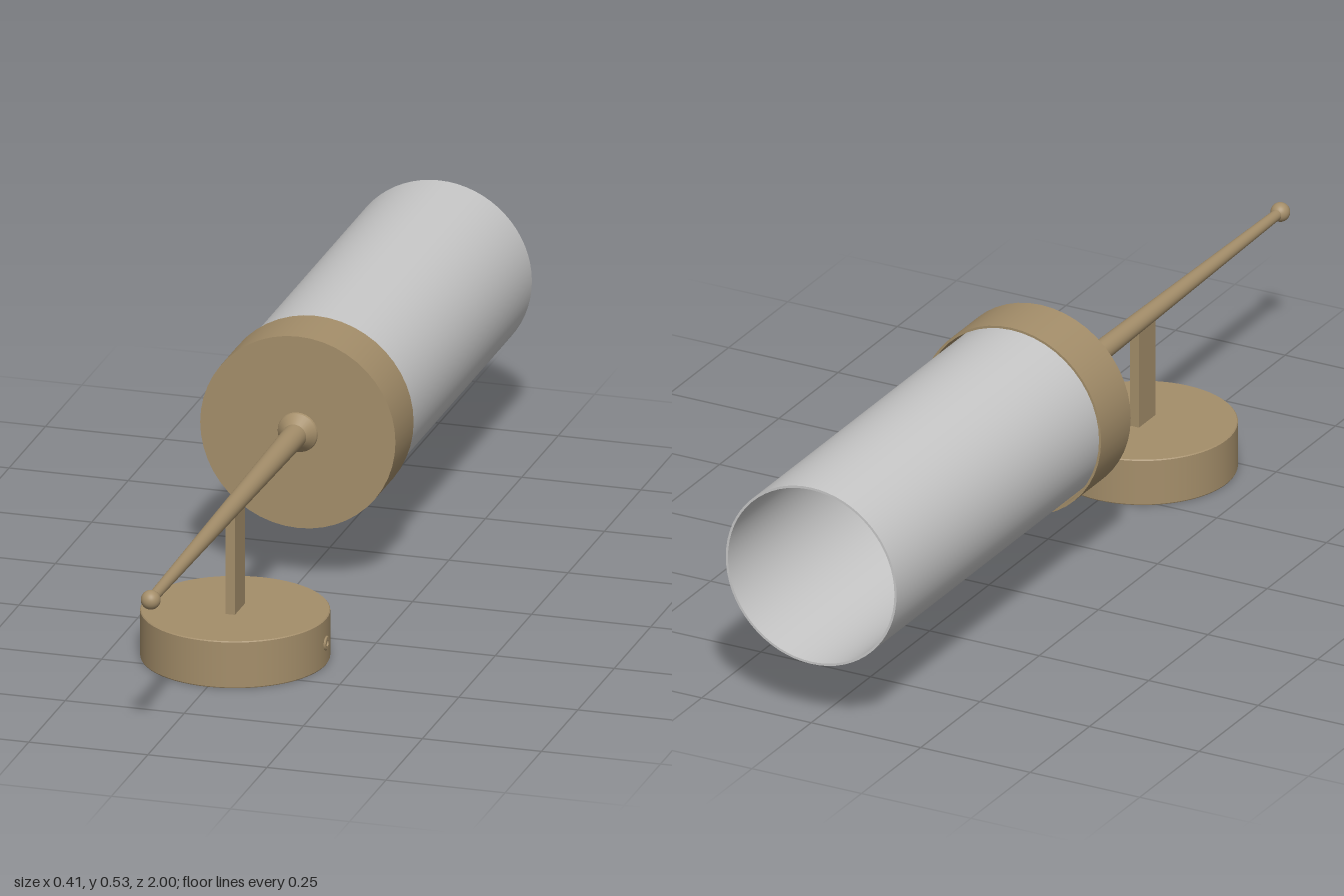
import * as THREE from 'three';

export function createModel() {
  const model = new THREE.Group();
  const brass = new THREE.MeshStandardMaterial({ color: 0xa48e6a });
  brass.name = 'brass';
  const glass = new THREE.MeshStandardMaterial({ color: 0xc8c8c8 });
  glass.name = 'frosted glass';
  const axisY = 0.325;
  const baseZ = 0.4;

  const add = (name, geometry, material, x, y, z) => {
    const mesh = new THREE.Mesh(geometry, material);
    mesh.name = name;
    mesh.position.set(x, y, z);
    model.add(mesh);
    return mesh;
  };
  // Turned part; every profile point is doubled to keep its corner sharp
  const turned = (profile, segments = 48) => new THREE.LatheGeometry(
    profile.flatMap(([r, h]) => [new THREE.Vector2(r, h), new THREE.Vector2(r, h)]), segments);
  // Same, lying along z
  const turnedZ = (profile, segments) => turned(profile, segments).rotateX(Math.PI / 2);

  // Hollow wall base, open underneath, with softened edges
  add('base', turned([
    [0, 0.094], [0.186, 0.094], [0.186, 0], [0.19, 0], [0.191, 0.002],
    [0.191, 0.098], [0.189, 0.1], [0, 0.1],
  ], 64), brass, 0, 0, baseZ);

  // Set screw with a hex socket on the side of the base
  const screw = add('setScrew', turned([
    [0, 0.002], [0.007, 0.002], [0.007, 0.009], [0.013, 0.009],
    [0.015, 0.007], [0.015, 0],
  ].reverse(), 24), brass, 0.185, 0.047, baseZ);
  screw.rotation.z = -Math.PI / 2;

  // Flat post, reaching just through the base
  add('post', new THREE.BoxGeometry(0.02, 0.225, 0.07), brass, 0, 0.2, baseZ);

  // Tapered arm with a flared collar against the cap
  add('arm', turnedZ([
    [0.043, -0.032], [0.041, -0.026], [0.025, -0.006], [0.025, 0.0], [0.011, 0.97], [0, 0.97],
  ], 32), brass, 0, axisY, 0);
  add('ballTip', new THREE.SphereGeometry(0.02, 32, 20), brass, 0, axisY, 0.98);

  // Cup-shaped cap holding the shade
  add('cap', turnedZ([
    [0, -0.038], [0.2, -0.038], [0.2, -0.155], [0.205, -0.155],
    [0.205, -0.03], [0, -0.03],
  ]), brass, 0, axisY, 0);

  // Open cylindrical shade
  add('shade', turnedZ([
    [0.19, -0.04], [0.19, -1], [0.195, -1], [0.195, -0.04],
  ], 64), glass, 0, axisY, 0);

  return model;
}
